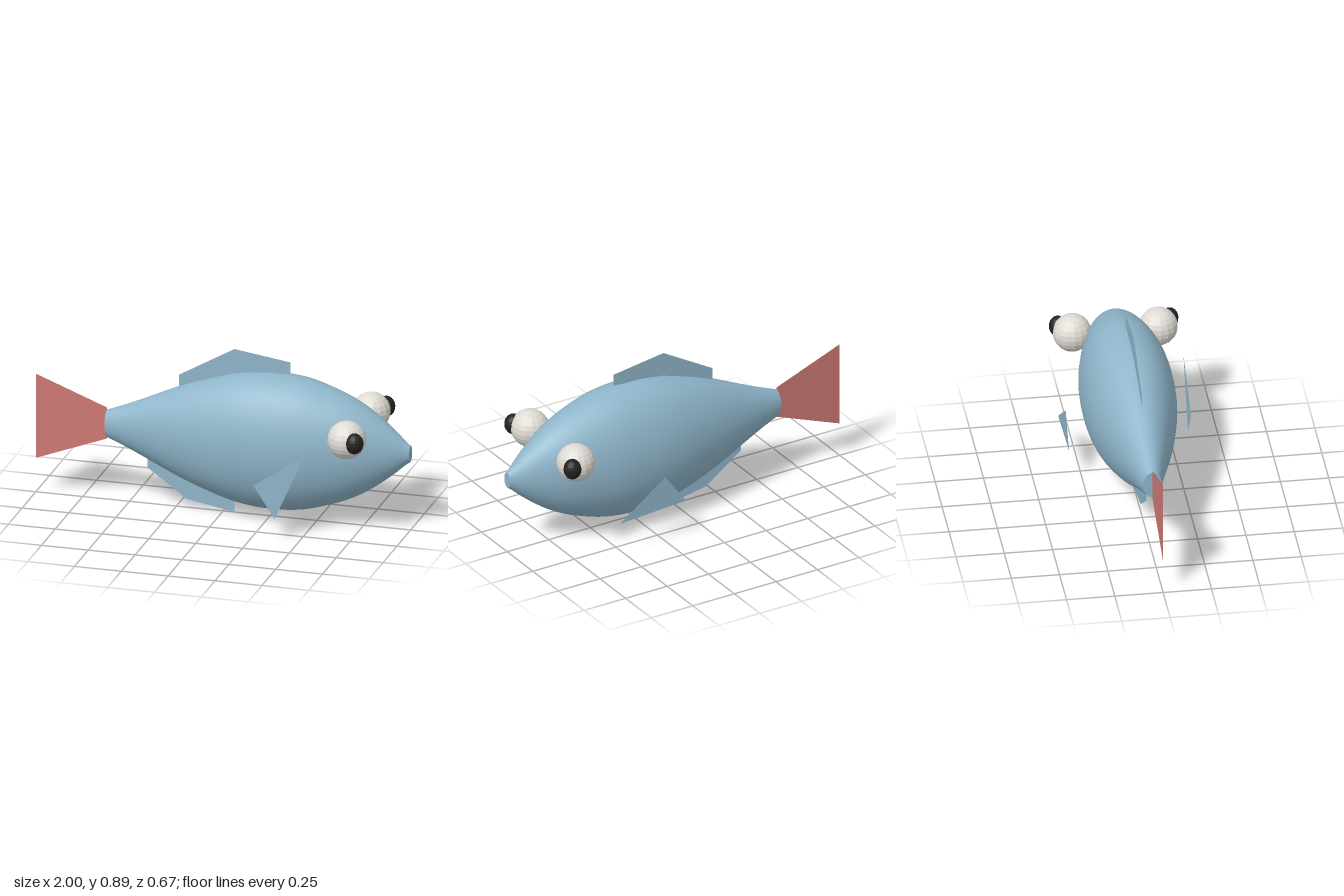
import * as THREE from 'three';

const material = (name, color, options = {}) =>
  new THREE.MeshStandardMaterial({ name, color, ...options });

export function createModel() {
  const fish = new THREE.Group();
  fish.name = 'fish';

  const skin = material('blueSkin', 0x8fb5ca);
  const finBlue = skin.clone();
  finBlue.side = THREE.DoubleSide;
  finBlue.name = 'blueFin';
  const tailRed = material('redTail', 0xcd7873, { side: THREE.DoubleSide });
  const eyeWhite = material('eyeWhite', 0xdedbd3, { flatShading: true });
  const pupilBlack = material('pupilBlack', 0x222222, { flatShading: true });

  const add = (name, geometry, mat, parent = fish) => {
    const mesh = new THREE.Mesh(geometry, mat);
    mesh.name = name;
    parent.add(mesh);
    return mesh;
  };

  // Body: a turned profile (half height, position along x), narrowed in z
  const midY = 0.415, narrow = 0.66;
  const profile = new THREE.SplineCurve([
    [0.073, -0.62], [0.112, -0.52], [0.165, -0.4], [0.255, -0.2], [0.325, 0],
    [0.356, 0.14], [0.365, 0.28], [0.352, 0.44], [0.305, 0.6], [0.253, 0.72],
    [0.19, 0.82], [0.12, 0.91], [0.066, 0.97], [0.043, 1],
  ].map(([r, x]) => new THREE.Vector2(r, x)));
  const bodyGeometry = new THREE.LatheGeometry(profile.getPoints(48), 48);
  bodyGeometry.rotateZ(-Math.PI / 2).scale(1, 1, narrow);
  add('body', bodyGeometry, skin).position.y = midY;

  // Flat ends at the mouth and at the root of the tail
  for (const [name, x, r, side] of [['mouth', 1, 0.043, 1], ['tailRoot', -0.62, 0.073, -1]]) {
    const cap = new THREE.CircleGeometry(r, 32);
    cap.rotateY(side * Math.PI / 2).scale(1, 1, narrow);
    add(name, cap, skin).position.set(x, midY, 0);
  }

  // Flat fins outlined in x and y
  const fin = (name, points, mat, z = 0) => {
    const shape = new THREE.Shape(points.map(([x, y]) => new THREE.Vector2(x, y)));
    add(name, new THREE.ShapeGeometry(shape), mat).position.z = z;
  };
  fin('tailFin', [[-1, 0.185], [-0.62, 0.33], [-0.62, 0.5], [-1, 0.645]], tailRed);
  fin('dorsalFin', [[-0.235, 0.64], [0.06, 0.76], [0.36, 0.785], [0.36, 0.848],
    [0.06, 0.89], [-0.235, 0.72]], finBlue);
  fin('bellyFin', [[-0.405, 0.26], [-0.405, 0.195], [-0.195, 0.045], [0.06, 0],
    [0.06, 0.08], [-0.195, 0.16]], finBlue);
  fin('rightSideFin', [[0.53, 0.47], [0.255, 0.28], [0.37, 0.11]], finBlue, 0.325);
  fin('leftSideFin', [[0.52, 0.175], [0.25, 0.37], [0.125, 0.2]], finBlue, -0.325);

  // Bulging eyes with pupils, one on each side
  for (const side of [1, -1]) {
    const eye = new THREE.Group();
    eye.name = side > 0 ? 'rightEye' : 'leftEye';
    eye.position.set(0.725, 0.543, 0.223 * side);
    fish.add(eye);
    add('eyeball', new THREE.SphereGeometry(0.1, 16, 12), eyeWhite, eye);
    const pupil = add('pupil', new THREE.SphereGeometry(0.05, 16, 12), pupilBlack, eye);
    pupil.scale.set(0.94, 1.1, 0.92);
    pupil.position.set(0.06, 0.008, 0.066 * side);
  }

  return fish;
}
